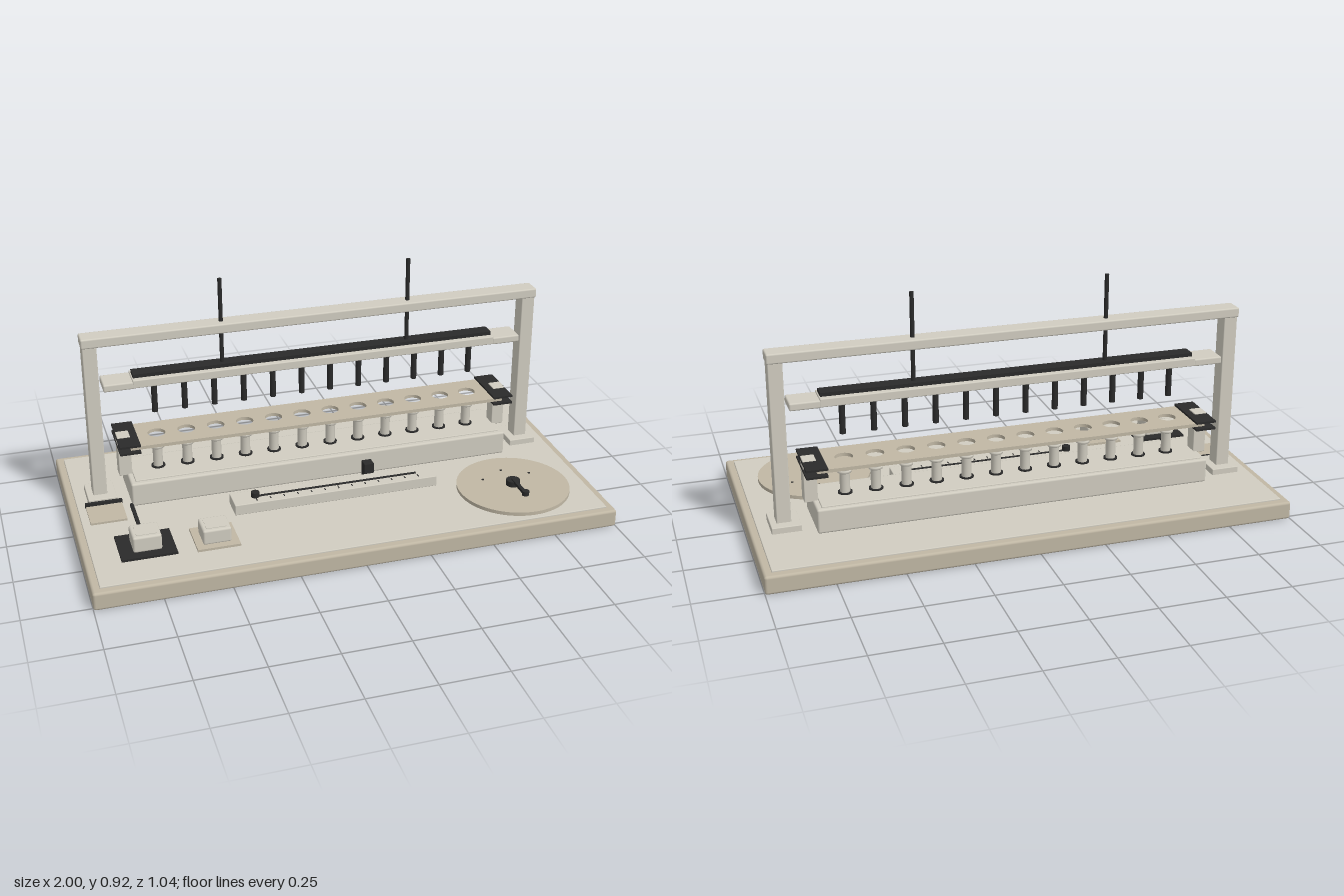
import * as THREE from 'three';
import { RoundedBoxGeometry } from 'three/addons/geometries/RoundedBoxGeometry.js';

const material = (color) => new THREE.MeshStandardMaterial({ color });
const light = material(0xd0ccc0);
const beige = material(0xc0b7a4);
const black = material(0x2a2a2a);

const COUNT = 12, PITCH = 0.1162, AXIS_Z = -0.148;

export function createModel() {
  const model = new THREE.Group();

  const add = (name, geometry, mat, x, y, z, parent = model) => {
    const mesh = new THREE.Mesh(geometry, mat);
    mesh.name = name;
    mesh.position.set(x, y, z);
    parent.add(mesh);
    return mesh;
  };
  // Box given by centre x/z, bottom and top; r rounds the edges
  const box = (name, mat, x, z, w, d, y0, y1, r = 0, parent = model) => {
    const h = y1 - y0;
    const geometry = r ? new RoundedBoxGeometry(w, h, d, 2, r) : new THREE.BoxGeometry(w, h, d);
    return add(name, geometry, mat, x, (y0 + y1) / 2, z, parent);
  };
  const rod = (name, mat, x, z, r, y0, y1, sides = 20, parent = model) =>
    add(name, new THREE.CylinderGeometry(r, r, y1 - y0, sides), mat, x, (y0 + y1) / 2, z, parent);
  const group = (name) => {
    const g = new THREE.Group();
    g.name = name;
    model.add(g);
    return g;
  };

  // Base and its raised top panel
  box('base', beige, 0, 0, 2, 1.04, 0, 0.07, 0.01);
  box('topPanel', light, 0, 0, 1.94, 0.98, 0.06, 0.076, 0.003);

  // Portal frame
  const frame = group('frame');
  for (const s of [-1, 1]) {
    box('postFoot', light, s * 0.87, AXIS_Z, 0.11, 0.137, 0.07, 0.1, 0.003, frame);
    box('post', light, s * 0.874, AXIS_Z, 0.054, 0.062, 0.09, 0.715, 0.004, frame);
    rod('guideRod', black, s * 0.372, AXIS_Z, 0.008, 0.57, 0.92, 16, frame);
  }
  box('crossBeam', light, 0, AXIS_Z, 1.81, 0.074, 0.712, 0.75, 0.006, frame);

  // Moving head with a row of pins
  const head = group('pinHead');
  box('headBar', light, 0, AXIS_Z, 1.45, 0.1, 0.537, 0.57, 0.004, head);
  box('headStrip', black, 0, AXIS_Z, 1.44, 0.056, 0.565, 0.584, 0, head);
  for (const s of [-1, 1]) box('headEnd', light, s * 0.778, AXIS_Z, 0.115, 0.1, 0.535, 0.564, 0.006, head);

  // Tube block with a row of flanged tubes
  const block = group('tubeBlock');
  box('blockBody', light, 0, -0.146, 1.53, 0.232, 0.075, 0.17, 0.008, block);
  box('blockTop', light, 0, AXIS_Z, 1.49, 0.196, 0.16, 0.175, 0.003, block);
  const tubeProfile = [[0, 0.215], [0.014, 0.215], [0.014, 0.268], [0.026, 0.268], [0.026, 0.258],
    [0.019, 0.256], [0.019, 0.172]].map(([x, y]) => new THREE.Vector2(x, y));
  const tubeGeometry = new THREE.LatheGeometry(tubeProfile.reverse(), 24);

  // Perforated tray above the tubes
  const tray = new THREE.Shape();
  tray.moveTo(-0.755, -0.098).lineTo(0.755, -0.098).lineTo(0.755, 0.098).lineTo(-0.755, 0.098);
  tray.closePath();
  for (let i = 0; i < COUNT; i++) {
    const x = (i - (COUNT - 1) / 2) * PITCH;
    rod('pin', black, x, AXIS_Z, 0.0115, 0.41, 0.54, 16, head);
    const tube = add('tube', tubeGeometry, light, x, 0, AXIS_Z, block);
    tube.material = light;
    rod('tubeCollar', black, x, AXIS_Z, 0.027, 0.172, 0.18, 24, block);
    const hole = new THREE.Path();
    hole.absarc(x, 0, 0.034, 0, Math.PI * 2, true);
    tray.holes.push(hole);
  }
  const trayGeometry = new THREE.ExtrudeGeometry(tray, { depth: 0.013, bevelEnabled: false, curveSegments: 24 });
  trayGeometry.rotateX(-Math.PI / 2);
  add('perforatedTray', trayGeometry, beige, 0, 0.305, AXIS_Z);

  // Clamps holding the tray ends
  for (const s of [-1, 1]) {
    const clamp = group(s > 0 ? 'leftClamp' : 'rightClamp');
    box('clampSupport', light, s * 0.77, AXIS_Z, 0.05, 0.055, 0.165, 0.33, 0.003, clamp);
    box('clampUpperPlate', black, s * 0.757, -0.15, 0.08, 0.212, 0.318, 0.326, 0, clamp);
    box('clampLowerPlate', black, s * 0.757, -0.15, 0.08, 0.212, 0.29, 0.298, 0, clamp);
  }

  // Selector dial with pointer
  const dial = group('selectorDial');
  const dx = 0.685, dz = 0.25;
  rod('dialDisc', beige, dx, dz, 0.22, 0.07, 0.09, 64, dial);
  rod('dialHub', black, dx, dz, 0.027, 0.09, 0.112, 24, dial);
  box('dialPointer', black, dx, dz + 0.058, 0.014, 0.116, 0.106, 0.117, 0, dial);
  rod('pointerKnob', black, dx, dz + 0.118, 0.014, 0.107, 0.125, 16, dial);
  for (const a of [-0.97, 0, 0.97]) {
    rod('dialMark', black, dx + 0.119 * Math.sin(a), dz - 0.119 * Math.cos(a), 0.005, 0.089, 0.092, 12, dial);
  }

  // Slider scale
  const scale = group('sliderScale');
  box('scaleBody', light, 0, 0.1, 0.81, 0.098, 0.075, 0.118, 0.003, scale);
  box('scaleSlot', black, 0.01, 0.1, 0.65, 0.012, 0.116, 0.12, 0, scale);
  rod('sliderKnob', black, -0.315, 0.1, 0.016, 0.118, 0.138, 20, scale);
  for (let i = 0; i <= 12; i++) {
    box('scaleTick', black, -0.315 + i * 0.0542, 0.122, 0.004, i % 6 ? 0.014 : 0.02, 0.117, 0.119, 0, scale);
  }
  box('stopBlock', black, 0.17, -0.003, 0.04, 0.04, 0.07, 0.14, 0.003);

  // Two push keys on their plates
  const key = (name, x, z, w, d, keyZ, plate, top) => {
    const g = group(name);
    box('keyPlate', plate, x, z, w, d, 0.07, 0.085, 0, g);
    box('keyCap', light, x, keyZ, 0.106, 0.1, 0.082, top, 0.008, g);
    box('keyFace', light, x, keyZ, 0.075, 0.07, top - 0.004, top + 0.002, 0, g);
  };
  key('firstKey', -0.768, 0.268, 0.205, 0.173, 0.268, black, 0.145);
  key('secondKey', -0.515, 0.285, 0.16, 0.16, 0.286, beige, 0.141);

  // Side pad and cable
  box('sidePad', beige, -0.87, -0.002, 0.138, 0.135, 0.07, 0.084);
  box('sidePadEdge', black, -0.87, -0.068, 0.142, 0.012, 0.075, 0.096);
  box('cable', black, -0.768, 0.075, 0.013, 0.23, 0.074, 0.086);

  return model;
}
